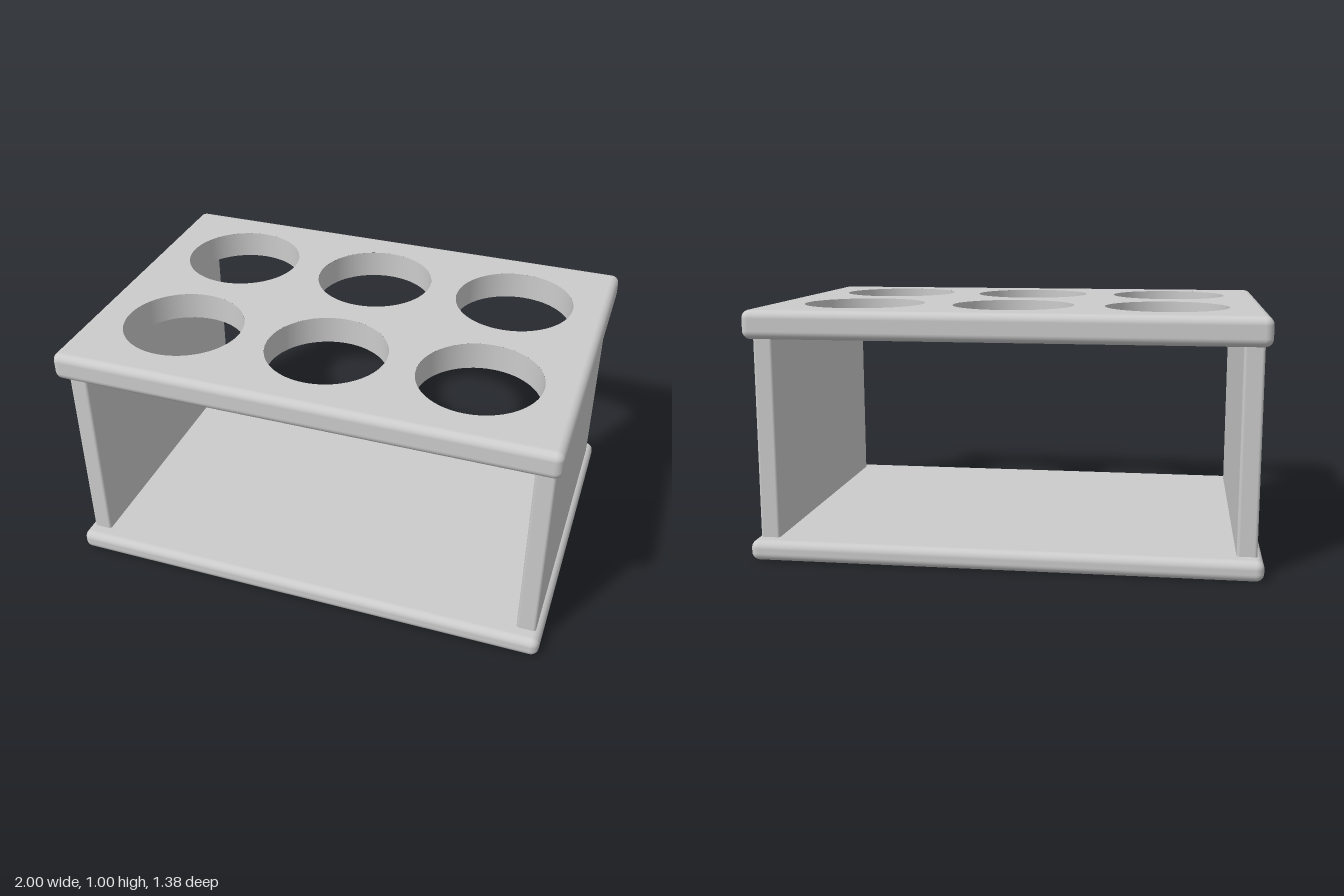
import * as THREE from 'three';
import { RoundedBoxGeometry } from 'three/addons/geometries/RoundedBoxGeometry.js';

const material = new THREE.MeshStandardMaterial({ color: 0xcccccc });
const wallMaterial = new THREE.MeshStandardMaterial({ color: 0xcccccc, side: THREE.BackSide });

const WIDTH = 2, DEPTH = 1.385, ROUND = 0.032;
const BASE_TOP = 0.082, SHELF_BOTTOM = 0.882, SHELF_TOP = 0.995;
const HOLE_RADIUS = 0.244, HOLE_SEGMENTS = 64;

function addMesh(parent, name, geometry, x = 0, y = 0, z = 0, mat = material) {
  const mesh = new THREE.Mesh(geometry, mat);
  mesh.name = name;
  mesh.position.set(x, y, z);
  parent.add(mesh);
  return mesh;
}

// Rounded box without its flat top and bottom faces
function roundedRim(width, height, depth, radius) {
  const box = new RoundedBoxGeometry(width, height, depth, 4, radius);
  const p = box.attributes.position, n = box.attributes.normal;
  const positions = [], normals = [];
  for (let i = 0; i < p.count; i += 3) {
    const corners = [i, i + 1, i + 2];
    if (corners.every((j) => Math.abs(p.getY(j)) > height / 2 - 1e-5)) continue;
    for (const j of corners) {
      positions.push(p.getX(j), p.getY(j), p.getZ(j));
      normals.push(n.getX(j), n.getY(j), n.getZ(j));
    }
  }
  const rim = new THREE.BufferGeometry();
  rim.setAttribute('position', new THREE.Float32BufferAttribute(positions, 3));
  rim.setAttribute('normal', new THREE.Float32BufferAttribute(normals, 3));
  return rim;
}

// Top shelf: rounded rim, two pierced faces and the walls of the holes
function createShelf() {
  const shelf = new THREE.Group();
  shelf.name = 'topShelf';
  const thickness = SHELF_TOP - SHELF_BOTTOM;
  shelf.position.y = (SHELF_TOP + SHELF_BOTTOM) / 2;
  addMesh(shelf, 'shelfRim', roundedRim(WIDTH, thickness, DEPTH, ROUND));

  const w = WIDTH / 2 - ROUND, d = DEPTH / 2 - ROUND;
  const outline = new THREE.Shape([
    new THREE.Vector2(-w, -d), new THREE.Vector2(w, -d),
    new THREE.Vector2(w, d), new THREE.Vector2(-w, d),
  ]);
  const wall = new THREE.CylinderGeometry(HOLE_RADIUS, HOLE_RADIUS, thickness, HOLE_SEGMENTS, 1, true);
  for (const x of [-0.613, 0, 0.613]) {
    for (const z of [-0.307, 0.307]) {
      outline.holes.push(new THREE.Path().absarc(x, z, HOLE_RADIUS, 0, Math.PI * 2, true));
      addMesh(shelf, 'holeWall', wall, x, 0, z, wallMaterial);
    }
  }
  const face = new THREE.ShapeGeometry(outline, HOLE_SEGMENTS);
  addMesh(shelf, 'shelfTopFace', face, 0, thickness / 2).rotation.x = -Math.PI / 2;
  addMesh(shelf, 'shelfUnderside', face, 0, -thickness / 2).rotation.x = Math.PI / 2;
  return shelf;
}

export function createModel() {
  const model = new THREE.Group();
  model.name = 'sixHoleRack';

  // Base board
  addMesh(model, 'baseBoard', new RoundedBoxGeometry(WIDTH, BASE_TOP, DEPTH, 4, ROUND), 0, BASE_TOP / 2);

  // Side panels, let slightly into the boards
  const inset = 0.02;
  const panel = new RoundedBoxGeometry(0.078, SHELF_BOTTOM - BASE_TOP + 2 * inset, 1.255, 3, 0.012);
  for (const side of [-1, 1]) {
    addMesh(model, side > 0 ? 'leftPanel' : 'rightPanel', panel, side * 0.937, (SHELF_BOTTOM + BASE_TOP) / 2);
  }

  model.add(createShelf());
  return model;
}
